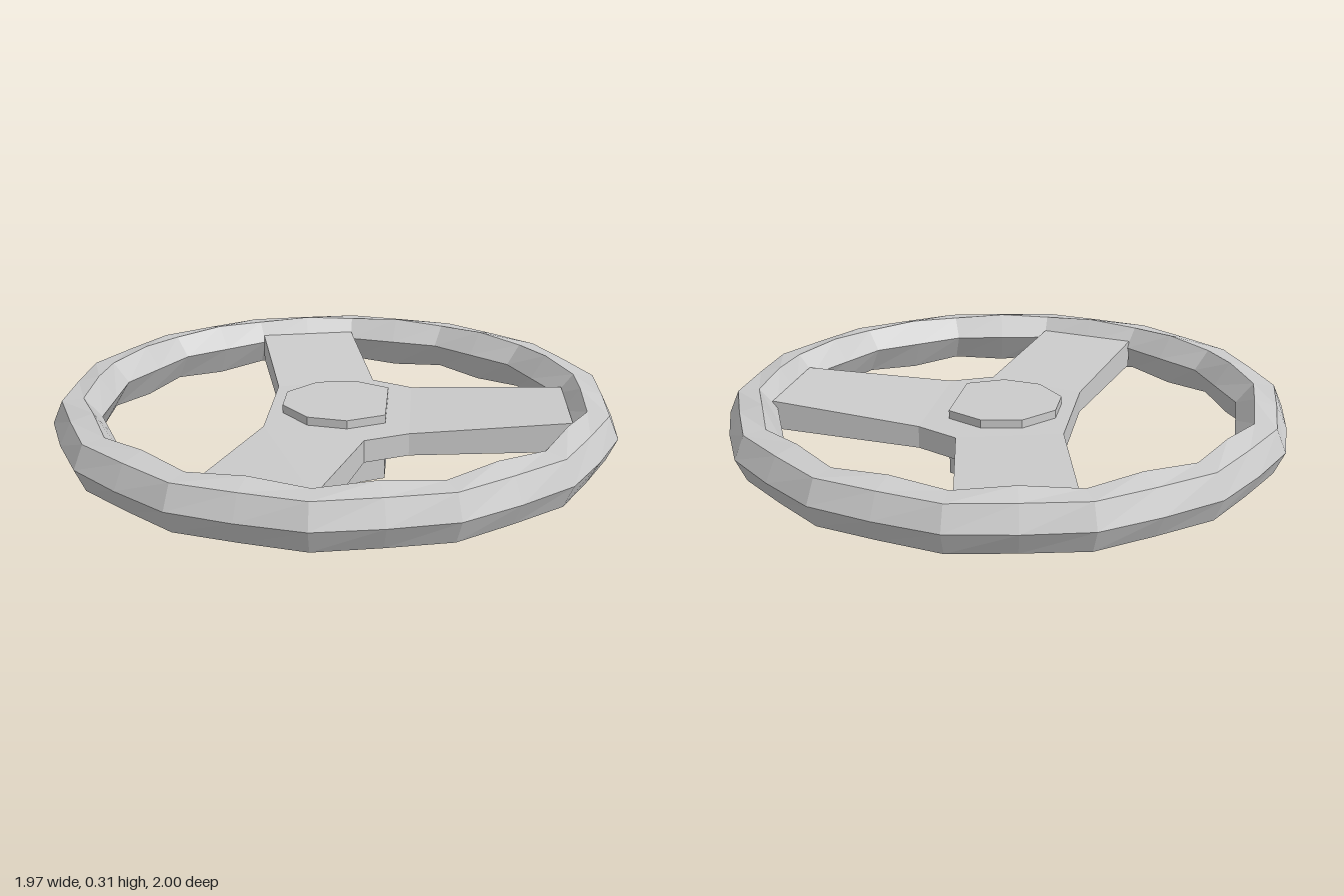
import * as THREE from 'three';

const material = new THREE.MeshStandardMaterial({ color: 0xcccccc, flatShading: true });

function part(name, geometry) {
  const mesh = new THREE.Mesh(geometry, material);
  mesh.name = name;
  return mesh;
}

// Upright prism from [x, z] corners between two heights
function prism(corners, bottom, top) {
  const shape = new THREE.Shape(corners.map(([x, z]) => new THREE.Vector2(x, -z)));
  const geometry = new THREE.ExtrudeGeometry(shape, { depth: top - bottom, bevelEnabled: false });
  return geometry.rotateX(-Math.PI / 2).translate(0, bottom, 0);
}

// Corners on one side, closed by their mirror image across z = 0
const mirrored = (half) => [...half, ...half.map(([x, z]) => [x, -z]).reverse()];

// Faceted rim: 14 corners with slightly swollen rings between them
function rimGeometry() {
  const corner = [[1, 0.205], [0.965, 0.285], [0.89, 0.292], [0.83, 0.22], [0.89, 0.118], [0.965, 0.125]];
  const middle = [[0.985, 0.205], [0.945, 0.285], [0.868, 0.305], [0.809, 0.22], [0.868, 0.105], [0.945, 0.125]];
  const rings = 28, sides = corner.length;
  const positions = [], index = [];
  for (let i = 0; i < rings; i++) {
    const angle = (i / rings) * Math.PI * 2;
    for (const [r, y] of i % 2 ? middle : corner) {
      positions.push(r * Math.sin(angle), y, r * Math.cos(angle));
    }
    for (let j = 0; j < sides; j++) {
      const next = (i + 1) % rings, up = (j + 1) % sides;
      const a = i * sides + j, b = next * sides + j, c = next * sides + up, d = i * sides + up;
      index.push(a, b, c, a, c, d);
    }
  }
  const geometry = new THREE.BufferGeometry();
  geometry.setAttribute('position', new THREE.Float32BufferAttribute(positions, 3));
  geometry.setIndex(index);
  geometry.computeVertexNormals();
  return geometry;
}

// Spoke whose outer end rises to meet the rim
function spokeGeometry(corners) {
  const geometry = prism(corners, 0.13, 0.21);
  const p = geometry.attributes.position;
  for (let i = 0; i < p.count; i++) {
    if (Math.hypot(p.getX(i), p.getZ(i)) > 0.6) p.setY(i, p.getY(i) > 0.17 ? 0.245 : 0.14);
  }
  geometry.computeVertexNormals();
  return geometry;
}

export function createModel() {
  const group = new THREE.Group();
  group.name = 'steeringWheel';
  group.add(part('rim', rimGeometry()));

  // Eight-sided hub, from the shaft below to the raised cap
  const hub = mirrored([[-0.185, -0.07], [-0.085, -0.187], [0.055, -0.212], [0.185, -0.145]]);
  group.add(part('hub', prism(hub, 0, 0.24)));

  // Flat plate joining the three spokes
  const plate = mirrored([[-0.235, -0.21], [0.12, -0.315], [0.27, -0.24]]);
  group.add(part('centrePlate', prism(plate, 0.13, 0.21)));

  // One spoke to +x, and a mirrored pair to the front and back
  group.add(part('leftSpoke', spokeGeometry(mirrored([[0.27, -0.24], [0.825, -0.188]]))));
  for (const [name, s] of [['frontSpoke', 1], ['backSpoke', -1]]) {
    const corners = [[-0.235, 0.21 * s], [-0.367, 0.761 * s], [0, 0.845 * s], [0.12, 0.315 * s]];
    group.add(part(name, spokeGeometry(corners)));
  }
  return group;
}
